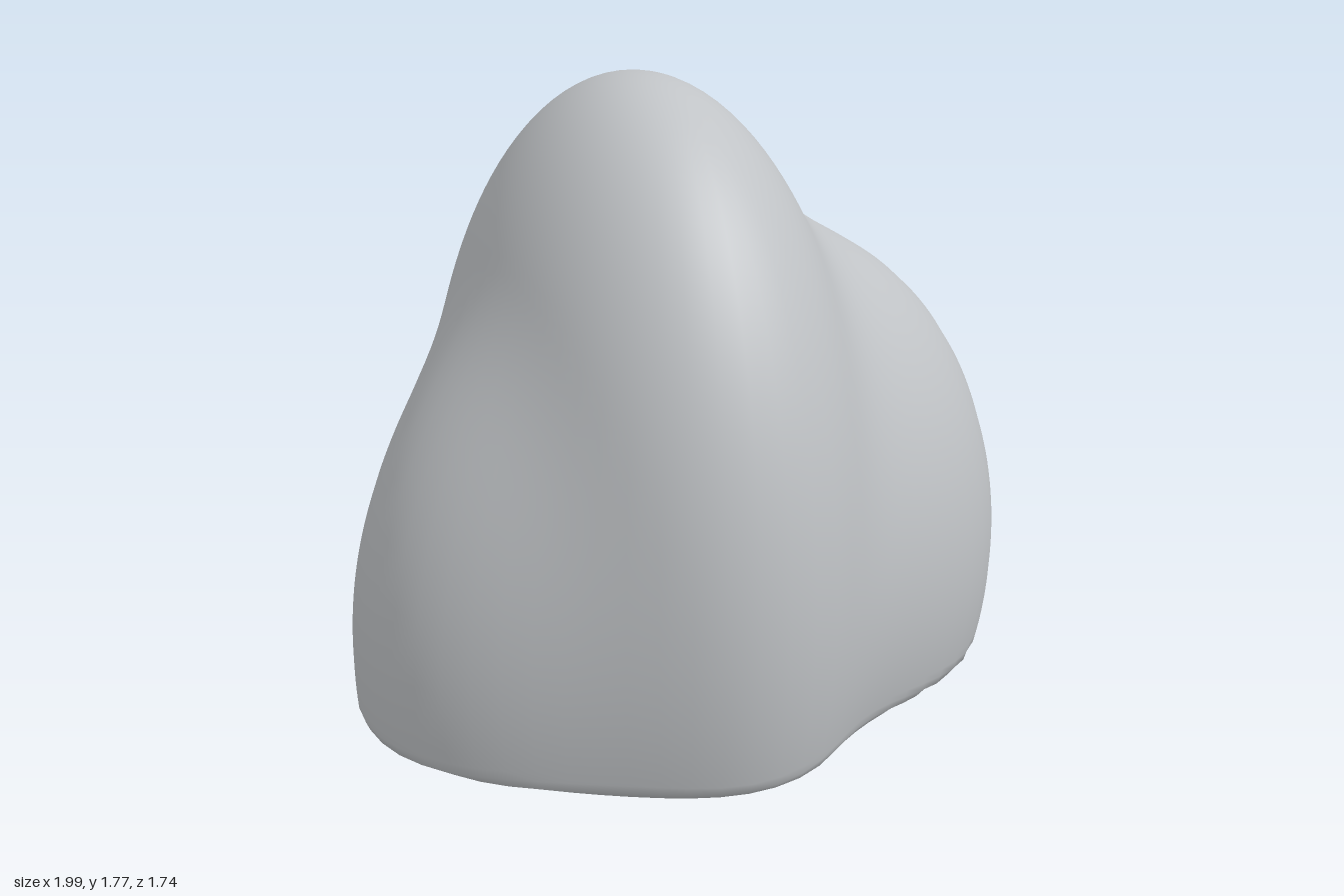
import * as THREE from 'three';
import { mergeVertices } from 'three/addons/utils/BufferGeometryUtils.js';

// Overlapping lobes that make up the boulder: centre and radii
const LOBES = [
  { c: [-0.14, 0.5, 0], r: [0.585, 1.28, 0.87] }, // tall central ridge
  { c: [0.4, 0.35, -0.13], r: [0.595, 0.9, 0.64] }, // left shoulder (+x)
  { c: [-0.5, 0.17, 0.07], r: [0.485, 0.78, 0.46] }, // right shoulder (-x)
];
const CORE = new THREE.Vector3(-0.08, 0.3, 0); // lies inside every lobe

// Distance from the core to a lobe's surface along direction d
function exitDistance({ c, r }, d) {
  const radii = new THREE.Vector3(...r);
  const o = CORE.clone().sub(new THREE.Vector3(...c)).divide(radii);
  const v = d.clone().divide(radii);
  const a = v.dot(v), b = o.dot(v), k = o.dot(o) - 1;
  return (-b + Math.sqrt(b * b - a * k)) / a;
}

// Maximum and minimum with a rounded transition of width k
function smoothMax(a, b, k) {
  const h = Math.max(k - Math.abs(a - b), 0) / k;
  return Math.max(a, b) + h * h * k / 4;
}
const smoothMin = (a, b, k) => -smoothMax(-a, -b, k);

function boulderGeometry() {
  let geo = new THREE.SphereGeometry(1, 64, 110);
  geo.deleteAttribute('uv');
  geo.deleteAttribute('normal');
  geo = mergeVertices(geo, 1e-4);
  const pos = geo.attributes.position;
  const d = new THREE.Vector3();
  for (let i = 0; i < pos.count; i++) {
    d.fromBufferAttribute(pos, i).normalize();
    // Wide blend fills the hollows between lobes
    let dist = LOBES.map((lobe) => exitDistance(lobe, d))
      .reduce((a, b) => smoothMax(a, b, 0.44));
    // Slightly tilted flat underside: y = 0.022 - 0.02 z
    const fall = -(d.y + 0.02 * d.z);
    if (fall > 0.01) dist = smoothMin(dist, (CORE.y - 0.022) / fall, 0.1);
    d.multiplyScalar(dist).add(CORE);
    pos.setXYZ(i, d.x, d.y, d.z);
  }
  geo.computeVertexNormals();
  return geo;
}

export function createModel() {
  const stone = new THREE.MeshStandardMaterial({ color: 0xc0c3c6 });
  stone.name = 'stone grey';
  const boulder = new THREE.Mesh(boulderGeometry(), stone);
  boulder.name = 'boulder';
  const model = new THREE.Group();
  model.name = 'rock';
  model.add(boulder);
  return model;
}
